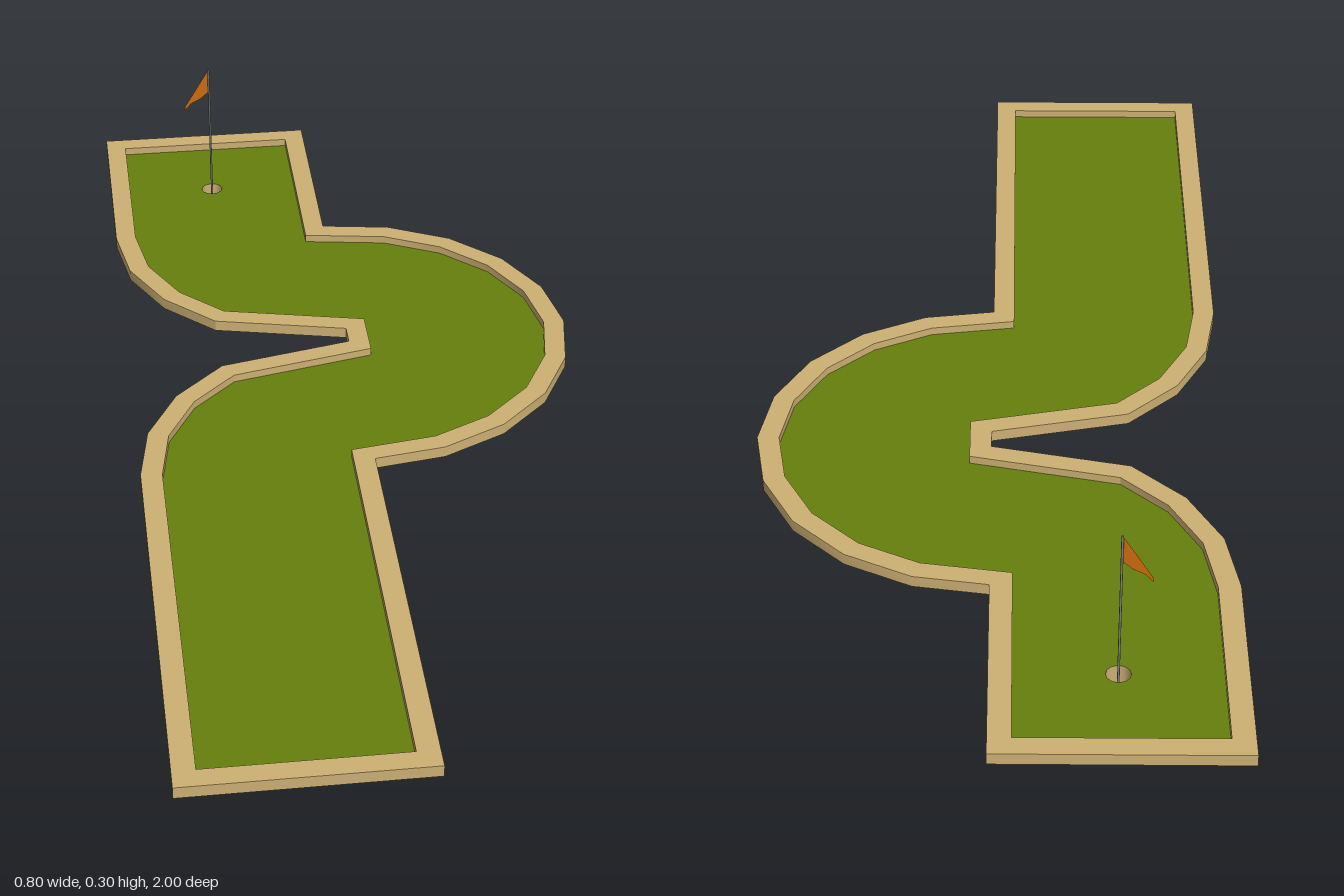
import * as THREE from 'three';
import { toCreasedNormals } from 'three/addons/utils/BufferGeometryUtils.js';

const RAIL = 0.037, TURF_Y = 0.036;
const HOLE_X = -0.2, HOLE_Z = -0.8, HOLE_R = 0.02;

// Plan points use (x, -z), so that rotating by -90 degrees about x lays them flat.
function arc(cx, z, r, from, to, steps) {
  return Array.from({ length: steps + 1 }, (_, i) => {
    const a = THREE.MathUtils.degToRad(from + ((to - from) * i) / steps);
    return new THREE.Vector2(cx + r * Math.cos(a), -z + r * Math.sin(a));
  });
}

// Counterclockwise outline of the winding course.
function courseOutline() {
  const p = (x, z) => new THREE.Vector2(x, -z);
  return [
    p(-0.4, -1), ...arc(0, -0.6, 0.4, 180, 234, 3),
    p(0, -0.222), p(0, -0.178),
    ...arc(0, 0.2, 0.4, 126, 180, 3),
    p(-0.4, 1), p(0, 1),
    ...arc(0, -0.2, 0.4, -90, 90, 10),
    p(0, -1),
  ];
}

// Mitred inward offset of a counterclockwise outline.
function inset(points, d) {
  const n = points.length;
  return points.map((b, i) => {
    const u = b.clone().sub(points[(i + n - 1) % n]).normalize();
    const v = points[(i + 1) % n].clone().sub(b).normalize();
    const nu = new THREE.Vector2(-u.y, u.x), nv = new THREE.Vector2(-v.y, v.x);
    const k = d / (1 + nu.dot(nv));
    return b.clone().add(nu.add(nv).multiplyScalar(k));
  });
}

export function createModel() {
  const group = new THREE.Group();
  const mat = (name, color, side = THREE.FrontSide) => {
    const m = new THREE.MeshStandardMaterial({ color, side });
    m.name = name;
    return m;
  };
  const wood = mat('wood', 0xcdb074, THREE.DoubleSide);
  const grass = mat('grass', 0x667f0e, THREE.DoubleSide);
  const metal = mat('metal', 0x7d807c);
  const orange = mat('orange', 0xcc6a0c, THREE.DoubleSide);
  const add = (name, geometry, material, x = 0, y = 0, z = 0) => {
    const mesh = new THREE.Mesh(geometry, material);
    mesh.name = name;
    mesh.position.set(x, y, z);
    group.add(mesh);
  };

  const outer = courseOutline();
  const inner = inset(outer, RAIL);

  // Wooden rail around the whole course
  const railShape = new THREE.Shape(outer);
  railShape.holes.push(new THREE.Path(inner));
  const rail = new THREE.ExtrudeGeometry(railShape, { depth: 0.02, bevelEnabled: false });
  rail.rotateX(-Math.PI / 2);
  add('rail', toCreasedNormals(rail, 0.5), wood, 0, 0.03, 0);

  // Turf sheet with the hole cut out
  const turfShape = new THREE.Shape(inner);
  turfShape.holes.push(new THREE.Path(arc(HOLE_X, HOLE_Z, HOLE_R, 360, 30, 11)));
  const turf = new THREE.ShapeGeometry(turfShape);
  turf.rotateX(-Math.PI / 2);
  add('turf', turf, grass, 0, TURF_Y, 0);

  // Cup below the turf: open wall and floor
  add('cupWall', new THREE.CylinderGeometry(HOLE_R, HOLE_R, TURF_Y, 12, 1, true), wood,
    HOLE_X, TURF_Y / 2, HOLE_Z);
  const floor = new THREE.CircleGeometry(HOLE_R, 12);
  floor.rotateX(-Math.PI / 2);
  add('cupFloor', floor, wood, HOLE_X, 0.001, HOLE_Z);

  // Flag pole
  add('flagPole', new THREE.CylinderGeometry(0.002, 0.002, 0.3, 8), metal, HOLE_X, 0.15, HOLE_Z);

  // Drooping flag with a wavy lower edge
  const flag = new THREE.Shape([
    [0, 0.3], [-0.018, 0.271], [-0.048, 0.222], [-0.048, 0.214],
    [-0.036, 0.228], [-0.017, 0.238], [0, 0.253],
  ].map(([x, y]) => new THREE.Vector2(x, y)));
  add('flag', new THREE.ShapeGeometry(flag), orange, HOLE_X, 0, HOLE_Z);

  return group;
}
